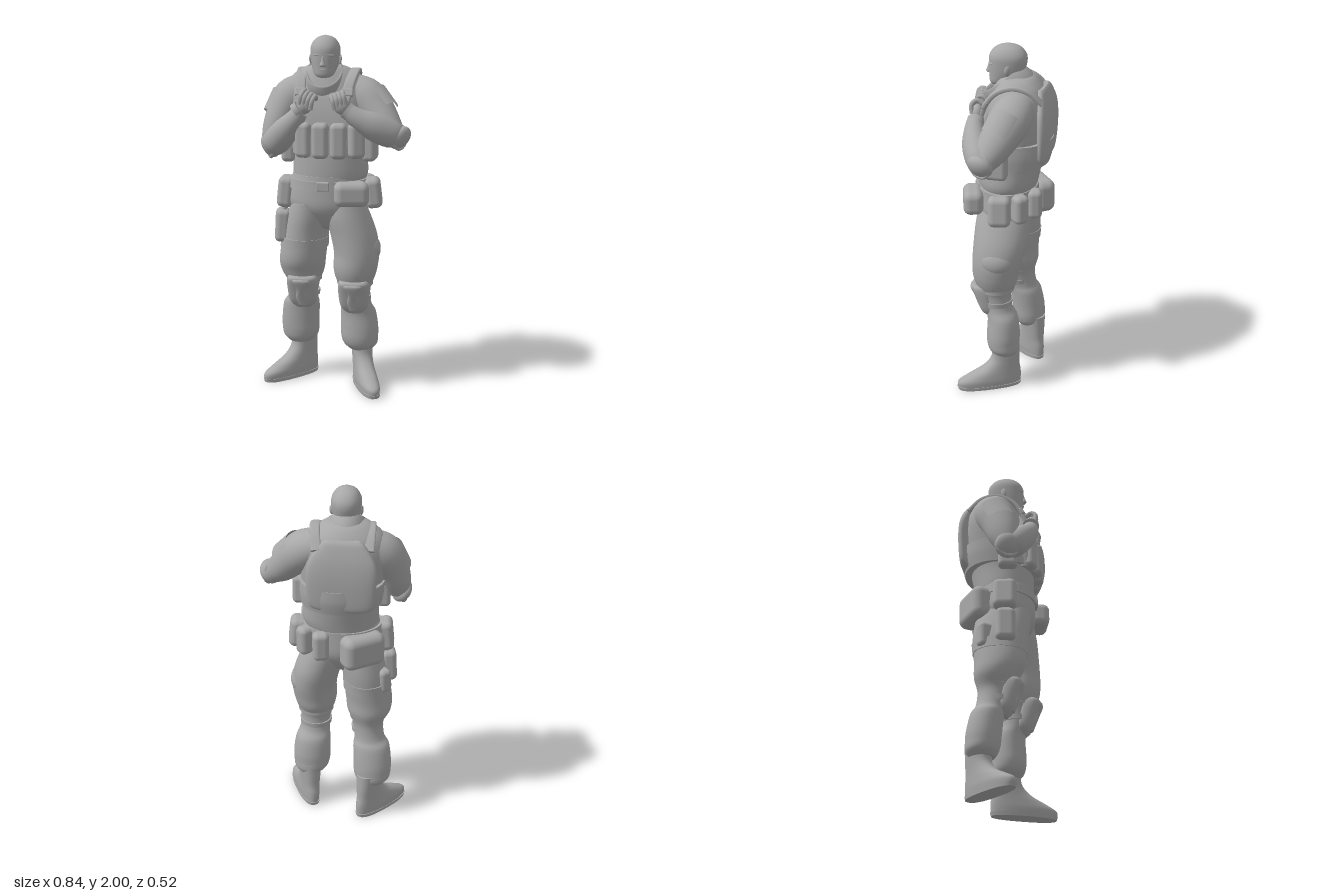
import * as THREE from 'three';
import { RoundedBoxGeometry } from 'three/addons/geometries/RoundedBoxGeometry.js';

const V = (x, y, z) => new THREE.Vector3(x, y, z);

export function createModel() {
  const root = new THREE.Group();
  const grey = new THREE.MeshStandardMaterial({ color: 0xa8a8a8, side: THREE.DoubleSide });
  grey.name = 'plainGrey';

  function add(name, geo, pos = [0, 0, 0], rot = [0, 0, 0], scale = [1, 1, 1], parent = root) {
    const m = new THREE.Mesh(geo, grey);
    m.name = name;
    m.position.set(...pos);
    m.rotation.set(...rot);
    m.scale.set(...scale);
    parent.add(m);
    return m;
  }

  // Skin through rounded sections [x, y, z, a, b]. With `ref` the rings follow the path
  // (a is measured along ref), otherwise they stay level; p squares the section, yaw turns it.
  function loft(name, secs, { ref = null, p = 2, yaw = 0, n = 32, sub = 5, parent = root } = {}) {
    const cr = (a, b, c, d, t) => b + 0.5 * t * (c - a + t * (2 * a - 5 * b + 4 * c - d + t * (3 * (b - c) + d - a)));
    const rows = [];
    for (let i = 0; i < secs.length - 1; i++) {
      const q = [secs[Math.max(i - 1, 0)], secs[i], secs[i + 1], secs[Math.min(i + 2, secs.length - 1)]];
      for (let s = 0; s < sub; s++) rows.push(secs[0].map((_, k) => cr(q[0][k], q[1][k], q[2][k], q[3][k], s / sub)));
    }
    rows.push(secs[secs.length - 1]);
    const rings = rows.map((r, i) => {
      const c = V(r[0], r[1], r[2]);
      let U = V(Math.cos(yaw), 0, -Math.sin(yaw)), W = V(-Math.sin(yaw), 0, -Math.cos(yaw));
      if (ref) {
        const a = rows[Math.max(i - 1, 0)], b = rows[Math.min(i + 1, rows.length - 1)];
        const T = V(b[0] - a[0], b[1] - a[1], b[2] - a[2]).normalize();
        U = V(...ref).addScaledVector(T, -T.dot(V(...ref))).normalize();
        W = T.clone().cross(U);
      }
      const ring = [];
      for (let j = 0; j < n; j++) {
        const t = (j / n) * Math.PI * 2, co = Math.cos(t), si = Math.sin(t);
        ring.push(c.clone()
          .addScaledVector(U, Math.sign(co) * Math.abs(co) ** (2 / p) * Math.max(r[3], 0.001))
          .addScaledVector(W, Math.sign(si) * Math.abs(si) ** (2 / p) * Math.max(r[4], 0.001)));
      }
      ring.c = c;
      return ring;
    });
    const first = rings[0], last = rings[rings.length - 1];
    const all = [Array(n).fill(first.c), first, ...rings, last, Array(n).fill(last.c)];
    const pos = [], idx = [];
    all.forEach((ring) => ring.forEach((v) => pos.push(v.x, v.y, v.z)));
    for (let i = 0; i < all.length - 1; i++) {
      if (i === 1 || i === all.length - 3) continue; // crisp edge at each cap
      for (let j = 0; j < n; j++) {
        const k = (j + 1) % n, a = i * n + j, b = i * n + k, c = a + n, d = b + n;
        idx.push(a, b, c, b, d, c);
      }
    }
    const g = new THREE.BufferGeometry();
    g.setAttribute('position', new THREE.Float32BufferAttribute(pos, 3));
    g.setIndex(idx);
    g.computeVertexNormals();
    return add(name, g, [0, 0, 0], [0, 0, 0], [1, 1, 1], parent);
  }

  const ball = (name, pos, scale, rot) => add(name, new THREE.SphereGeometry(1, 24, 16), pos, rot, scale);

  // Pouch: soft, padded box
  const pouch = (name, pos, [w, h, d], yaw = 0, tilt = 0) =>
    add(name, new RoundedBoxGeometry(w, h, d, 5, Math.min(w, h, d) * 0.36), pos, [0, yaw, tilt]);

  // Legs
  loft('leftLeg', [[.145, .215, -.01, .068, .07], [.142, .245, -.005, .096, .088], [.138, .29, 0, .106, .094], [.137, .35, 0, .107, .094], [.13, .44, .005, .1, .086],
    [.12, .5, .03, .085, .08], [.115, .59, .045, .088, .09], [.115, .66, .045, .113, .12], [.118, .72, .045, .125, .132], [.122, .8, .035, .128, .142],
    [.103, .9, .02, .131, .152], [.07, 1.0, .01, .127, .155], [.05, 1.08, 0, .11, .15]]);
  loft('rightLeg', [[-.222, .215, -.11, .068, .07], [-.222, .245, -.11, .098, .088], [-.22, .29, -.105, .108, .094], [-.22, .35, -.1, .109, .095], [-.212, .45, -.085, .104, .09],
    [-.2, .5, -.065, .086, .084], [-.19, .59, -.04, .09, .1], [-.195, .67, -.035, .124, .124], [-.192, .75, -.02, .132, .14],
    [-.17, .9, -.02, .128, .152], [-.15, 1.0, -.01, .124, .155], [-.14, 1.08, 0, .11, .15]]);
  loft('pelvis', [[-.045, .925, 0, .03, .06], [-.045, .955, 0, .09, .1], [-.045, 1.05, 0, .212, .158], [-.045, 1.15, 0, .218, .165], [-.04, 1.24, 0, .2, .162]]);
  ball('leftThighPocket', [.185, .82, .03], [.072, .085, .1], [0, 0, .25]);

  // Boots, each turned outward about its ankle
  for (const [side, x, z, yaw] of [['left', .152, -.01, .37], ['right', -.208, -.125, -.78]]) {
    const g = new THREE.Group();
    g.name = side + 'Boot';
    g.position.set(x, 0, z);
    g.rotation.y = yaw;
    root.add(g);
    loft('bootSole', [[0, 0, .092, .056, .184], [0, .02, .092, .058, .19]], { p: 2.5, sub: 1, parent: g });
    loft('bootUpper', [[0, .015, .092, .055, .186], [0, .05, .09, .058, .186], [0, .085, .06, .056, .155], [0, .13, .02, .054, .108],
      [0, .19, -.005, .056, .082], [0, .28, -.005, .064, .08]], { p: 2.3, parent: g });
  }

  // Knee pads with straps
  for (const [side, x, z] of [['left', .115, 0], ['right', -.187, -.075]]) {
    loft(side + 'KneePad', [[x, .45, .075 + z, .04, .025], [x, .49, .085 + z, .076, .045], [x, .57, .105 + z, .087, .055],
      [x, .63, .12 + z, .087, .062], [x, .65, .12 + z, .074, .052]], { p: 2.6 });
    loft(side + 'KneeCap', [[x, .475, .1 + z, .025, .035], [x, .52, .112 + z, .04, .04], [x, .57, .127 + z, .032, .045],
      [x, .62, .14 + z, .058, .05], [x, .635, .14 + z, .05, .045]], { p: 3 });
    for (const [y, r] of [[.535, .09], [.625, .101]]) {
      loft(side + 'KneeStrap', [[x, y - .014, .042 + z * .95, r, r], [x, y + .014, .042 + z * .95, r + .002, r + .002]], { sub: 1 });
    }
  }

  // Thigh gear
  loft('thighStrap', [[-.183, .81, -.02, .137, .15], [-.178, .87, -.02, .134, .156]], { sub: 1 });
  pouch('holster', [-.3, .935, .02], [.085, .19, .11], .15, -.05);
  pouch('holsterPouch', [-.272, .89, -.095], [.07, .14, .08], .6);
  add('holsterHanger', new RoundedBoxGeometry(.02, .2, .06, 3, .008), [-.285, 1.05, .02], [0, 0, -.1]);

  // Torso and vest
  loft('torso', [[-.04, 1.19, -.005, .195, .158], [-.03, 1.25, -.008, .21, .167], [-.033, 1.36, -.02, .208, .178], [-.04, 1.5, -.04, .225, .188],
    [-.05, 1.62, -.055, .238, .18], [-.055, 1.7, -.06, .232, .162], [-.057, 1.765, -.06, .2, .137], [-.06, 1.815, -.05, .135, .105], [-.06, 1.835, -.04, .08, .08]]);
  loft('waistBand', [[-.035, 1.36, -.03, .222, .205], [-.037, 1.43, -.04, .23, .212], [-.04, 1.5, -.045, .232, .21]], { p: 2.15 });
  loft('backPlate', [[-.04, 1.375, -.2, .13, .03], [-.04, 1.41, -.212, .175, .032], [-.04, 1.55, -.22, .188, .033], [-.045, 1.66, -.214, .178, .032],
    [-.05, 1.75, -.198, .12, .026], [-.05, 1.775, -.19, .09, .018]], { p: 2.8, yaw: -.11 });
  loft('chestPlate', [[-.045, 1.35, .12, .15, .045], [-.045, 1.45, .12, .165, .045], [-.05, 1.58, .11, .155, .04], [-.052, 1.67, .09, .12, .036], [-.055, 1.7, .08, .1, .03]], { p: 3 });
  for (const [x, z, yaw] of [[-.158, .145, -.3], [-.063, .17, -.06], [.036, .17, .1], [.13, .14, .4]]) {
    pouch('magazinePouch', [x, 1.445, z], [.09, .195, .078], yaw);
  }
  pouch('leftSidePouch', [.195, 1.4, .03], [.075, .165, .125], -.1);
  pouch('rightSidePouch', [-.262, 1.38, .03], [.075, .15, .11], .1);

  // Shoulder straps
  for (const [side, x, d] of [['left', .09, .02], ['right', -.185, -.008]]) {
    loft(side + 'ShoulderStrap', [[x - d * 2, 1.58, .135, .026, .012], [x - d, 1.68, .11, .028, .013], [x, 1.765, .05, .028, .013],
      [x + d * .7, 1.805, -.04, .028, .013], [x + d * .6, 1.785, -.13, .028, .013], [x, 1.72, -.2, .028, .012]], { ref: [1, 0, 0], p: 4, n: 20 });
    add(side + 'StrapBuckle', new RoundedBoxGeometry(.065, .045, .022, 3, .008), [x - d * .7, 1.7, .105], [-.5, 0, 0]);
  }

  // Belt and its pouches
  loft('belt', [[-.043, 1.165, 0, .228, .175], [-.04, 1.215, 0, .222, .174]], { sub: 1 });
  add('beltBuckle', new RoundedBoxGeometry(.07, .05, .02, 3, .006), [-.05, 1.19, .17]);
  pouch('frontPouch', [.108, 1.155, .172], [.19, .135, .11], .2);
  pouch('leftHipPouch', [.21, 1.135, .012], [.095, .17, .125], .1, .12);
  pouch('leftRearPouch', [.162, 1.135, -.095], [.09, .165, .085], .7);
  pouch('rearPouch', [.072, 1.135, -.165], [.09, .165, .08], .2);
  pouch('largeRearPouch', [-.155, 1.113, -.157], [.245, .19, .125], .55);
  pouch('rightHipPouch', [-.278, 1.13, .015], [.09, .175, .13], 0, -.1);

  // Arms
  const up = { ref: [0, 0, 1] };
  loft('leftUpperArm', [[.07, 1.7, -.07, .1, .09], [.165, 1.655, -.045, .115, .108], [.235, 1.58, 0, .104, .096], [.295, 1.505, .05, .086, .08], [.345, 1.455, .085, .06, .06]], up);
  loft('rightUpperArm', [[-.17, 1.7, -.07, .1, .09], [-.255, 1.65, -.047, .11, .106], [-.303, 1.56, -.012, .1, .09], [-.333, 1.47, .015, .086, .078], [-.35, 1.39, .04, .06, .06]], up);
  loft('leftForearm', [[.365, 1.45, .08, .045, .05], [.32, 1.475, .1, .07, .075], [.23, 1.52, .135, .07, .078], [.145, 1.565, .155, .056, .058], [.09, 1.605, .16, .044, .044]], up);
  loft('rightForearm', [[-.36, 1.375, .04, .04, .05], [-.33, 1.41, .065, .07, .075], [-.27, 1.48, .11, .068, .074], [-.21, 1.55, .145, .054, .056], [-.175, 1.6, .153, .044, .044]], up);

  // Elbow pads and sleeve panels
  for (const [side, pos, rot] of [['left', [.362, 1.458, .09], [0, -.5, -.55]], ['right', [-.362, 1.39, .04], [0, .4, .5]]]) {
    ball(side + 'ElbowPad', pos, [.045, .07, .075], rot);
    add(side + 'ElbowRim', new THREE.TorusGeometry(.062, .01, 8, 28), pos, [rot[0], rot[1] + Math.PI / 2, 0]);
  }
  for (const [side, pos, dir, mid] of [['left', [.215, 1.612, -.01], [-.6, .7, -.4], 1.3], ['right', [-.283, 1.6, -.028], [.36, .86, -.33], -1.4]]) {
    const panel = add(side + 'SleevePanel', new THREE.CylinderGeometry(.109, .108, .13, 10, 1, true, mid - .75, 1.5), pos);
    panel.quaternion.setFromUnitVectors(V(0, 1, 0), V(...dir).normalize());
  }

  // Gloved hands gripping the collar straps
  for (const [side, s, x] of [['left', 1, .05], ['right', -1, -.15]]) {
    const y = 1.635, z = .155;
    ball(side + 'Palm', [x, y, z], [.044, .052, .036], [0, 0, s * .5]);
    loft(side + 'Cuff', [[x + s * .05, y - .04, z, .047, .047], [x + s * .025, y - .02, z, .046, .046]], { ref: [0, 0, 1], sub: 1 });
    for (let i = 0; i < 4; i++) {
      const fx = x + s * (.026 - i * .02), fy = y + .026 - i * .009;
      const path = new THREE.CatmullRomCurve3([V(fx, fy - .02, z + .022), V(fx - s * .01, fy + .028, z + .026),
        V(fx - s * .022, fy + .05, z), V(fx - s * .024, fy + .03, z - .034)]);
      add(side + 'Finger', new THREE.TubeGeometry(path, 12, .013, 8));
      ball(side + 'Fingertip', path.getPoint(1).toArray(), [.013, .013, .013]);
    }
    loft(side + 'Thumb', [[x + s * .01, y - .02, z - .02, .017, .017], [x - s * .025, y - .005, z - .04, .015, .015], [x - s * .045, y + .025, z - .04, .009, .009]], { ref: [0, 0, 1], n: 14 });
  }

  // Neck and collar
  loft('neck', [[-.06, 1.68, -.03, .085, .085], [-.06, 1.77, -.015, .07, .075], [-.06, 1.86, -.02, .068, .075]]);
  const collar = [[.12, -.06], [.13, -.01], [.115, .045], [.106, .05], [.098, .04], [.1, -.06]].map((q) => new THREE.Vector2(...q));
  add('collar', new THREE.LatheGeometry(collar, 40), [-.06, 1.768, .002], [.64, 0, 0], [.88, 1, 1.16]);

  // Head and face
  const hx = -.058;
  loft('head', [[hx, 1.776, .058, .03, .032], [hx, 1.793, .043, .056, .057], [hx, 1.835, .013, .072, .09], [hx, 1.89, .002, .08, .103],
    [hx, 1.935, 0, .08, .102], [hx, 1.97, 0, .063, .08], [hx, 1.99, 0, .038, .048], [hx, 2.0, 0, .004, .004]], { p: 2.15 });
  loft('nose', [[hx, 1.838, .102, .016, .012], [hx, 1.847, .105, .017, .016], [hx, 1.868, .1, .01, .013], [hx, 1.895, .097, .009, .008]], { n: 16 });
  ball('upperLip', [hx, 1.818, .096], [.022, .005, .01]);
  ball('lowerLip', [hx, 1.808, .092], [.019, .006, .01]);
  ball('chin', [hx, 1.789, .08], [.026, .015, .016]);
  for (const s of [-1, 1]) {
    ball('brow', [hx + s * .033, 1.898, .086], [.028, .007, .014], [0, s * .4, -s * .1]);
    ball('eye', [hx + s * .033, 1.88, .084], [.015, .006, .01], [0, s * .4, 0]);
    ball('ear', [hx + s * .08, 1.87, -.005], [.009, .027, .017], [-.15, s * .35, 0]);
  }

  return root;
}
